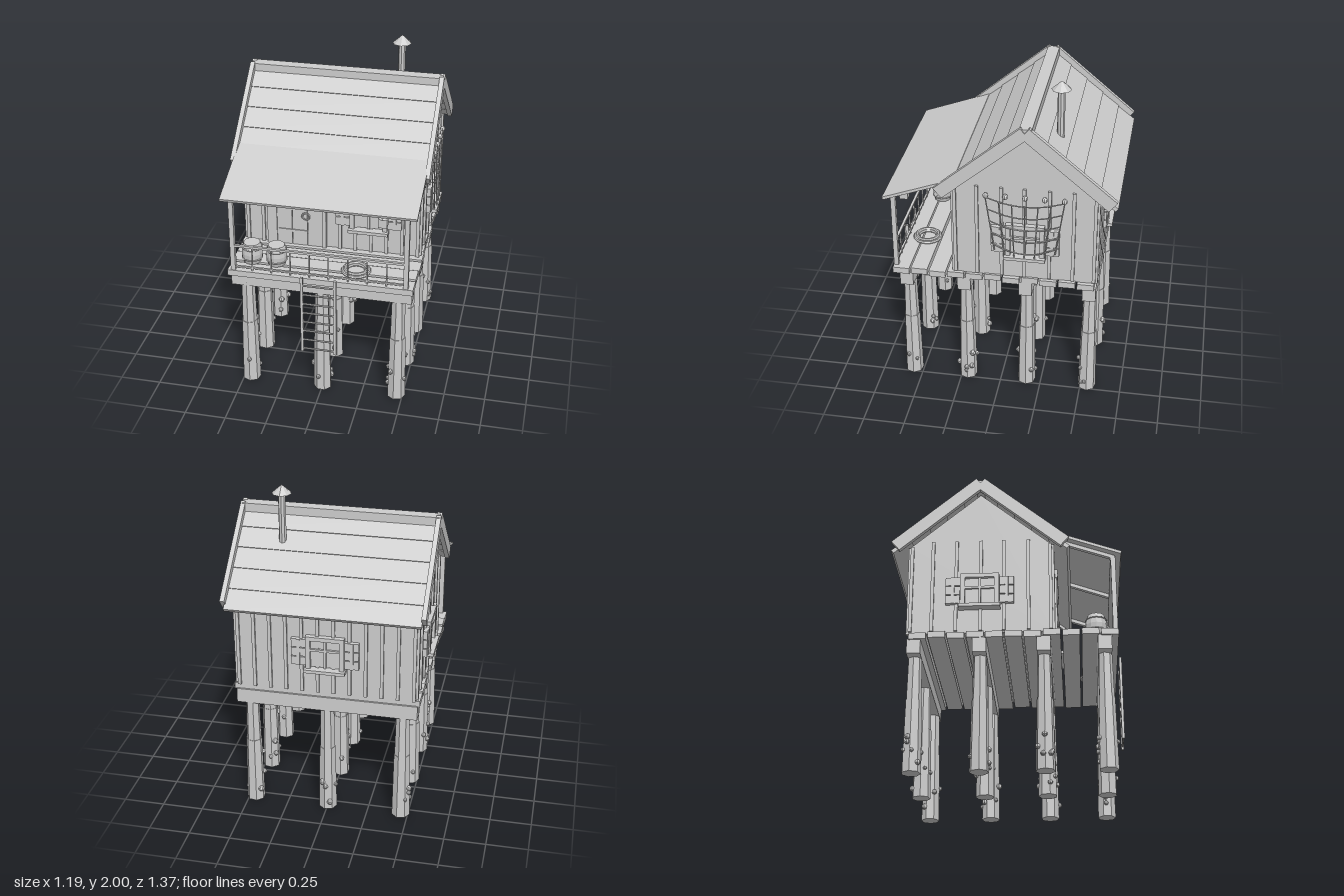
import * as THREE from 'three';

const wood = new THREE.MeshStandardMaterial({ color: 0xcccccc, flatShading: true });
wood.name = 'weathered grey';

// Small seeded generator for natural irregularity
let seed = 7;
const rnd = () => (seed = (seed * 16807) % 2147483647) / 2147483647;

function add(parent, name, geo, x = 0, y = 0, z = 0) {
  const m = new THREE.Mesh(geo, wood);
  m.name = name;
  m.position.set(x, y, z);
  parent.add(m);
  return m;
}
// Box given by its extents
function box(parent, name, x0, x1, y0, y1, z0, z1) {
  return add(parent, name, new THREE.BoxGeometry(x1 - x0, y1 - y0, z1 - z0),
    (x0 + x1) / 2, (y0 + y1) / 2, (z0 + z1) / 2);
}
function group(parent, name) {
  const g = new THREE.Group();
  g.name = name;
  parent.add(g);
  return g;
}
function rope(parent, name, pts, r = 0.004) {
  const curve = new THREE.CatmullRomCurve3(pts.map(p => new THREE.Vector3(...p)));
  return add(parent, name, new THREE.TubeGeometry(curve, 12, r, 5), 0, 0, 0);
}

const RIDGE_Z = -0.16, SLOPE = 0.84, PITCH = Math.atan(SLOPE);

function buildStilts(root) {
  for (const z of [0.56, 0.21, -0.16, -0.54]) {
    box(root, 'floorBeam', -0.545, 0.545, 0.695, 0.785, z - 0.04, z + 0.04);
    for (const x of [-0.455, 0, 0.46]) {
      const post = group(root, 'stilt');
      post.position.set(x, 0, z);
      const turn = rnd() * 0.8;
      add(post, 'stiltLower', new THREE.CylinderGeometry(0.049, 0.056, 0.43, 7), 0, 0.215, 0).rotation.y = turn;
      add(post, 'stiltUpper', new THREE.CylinderGeometry(0.039, 0.047, 0.4, 7), 0, 0.58, 0).rotation.y = turn;
      // Barnacles near the waterline
      for (let i = 0; i < 6; i++) {
        const a = rnd() * Math.PI * 2;
        add(post, 'barnacle', new THREE.SphereGeometry(0.011 + rnd() * 0.008, 7, 5),
          Math.cos(a) * 0.055, 0.05 + rnd() * 0.16, Math.sin(a) * 0.055);
      }
    }
  }
}

function buildDeck(root) {
  const n = 11, step = 1.22 / n;
  for (let i = 0; i < n; i++) {
    const z = 0.64 - i * step, lift = (i % 2) * 0.006, e = rnd() * 0.012;
    box(root, 'deckPlank', -0.56 + e, 0.56 - e, 0.78 + lift, 0.818 + lift, z - step + 0.011, z);
  }
}

// Window built facing +z around its own origin, then placed on a wall
function buildWindow(root, x, z, turn) {
  const w = group(root, 'window');
  w.position.set(x, 0, z);
  w.rotation.y = turn;
  box(w, 'pane', -0.1, 0.1, 0.99, 1.18, 0, 0.012);
  for (const s of [-1, 1]) {
    box(w, 'frameSide', s * 0.1 - 0.014, s * 0.1 + 0.014, 0.98, 1.19, 0, 0.032);
    const c = s * 0.158;
    for (let i = 0; i < 3; i++)
      box(w, 'shutterBoard', c - 0.042, c + 0.042, 1.0 + i * 0.058, 1.052 + i * 0.058, 0, 0.024);
    box(w, 'shutterBrace', c - 0.01, c + 0.01, 1.0, 1.168, 0.02, 0.03);
  }
  box(w, 'frameTop', -0.114, 0.114, 1.165, 1.19, 0, 0.032);
  box(w, 'mullion', -0.007, 0.007, 0.99, 1.17, 0.01, 0.025);
  box(w, 'transom', -0.09, 0.09, 1.095, 1.109, 0.01, 0.025);
  box(w, 'sill', -0.122, 0.122, 0.965, 0.985, 0, 0.055);
}

function buildHouse(root) {
  // Gabled body; shape x becomes -z after the turn
  const s = new THREE.Shape();
  s.moveTo(-0.265, 0.82).lineTo(0.575, 0.82);
  s.lineTo(0.575, 1.395).lineTo(0.16, 1.745).lineTo(-0.265, 1.39);
  s.closePath();
  const body = add(root, 'walls', new THREE.ExtrudeGeometry(s, { depth: 1.07, bevelEnabled: false }), -0.535, 0, 0);
  body.rotation.y = Math.PI / 2;

  // Battens
  for (const sx of [-1, 1])
    for (const z of [0.125, -0.02, -0.155, -0.3, -0.44, 0.255, -0.565])
      box(root, 'gableBatten', sx * 0.54 - 0.008, sx * 0.54 + 0.008, 0.83, Math.abs(z + 0.155) > 0.4 ? 1.39 : 1.42, z - 0.01, z + 0.01);
  for (let i = 0; i < 12; i++) {
    const x = -0.523 + i * 0.0951;
    box(root, 'backBatten', x - 0.01, x + 0.01, 0.82, 1.39, -0.588, -0.572);
    if (x < -0.41 || x > -0.04) box(root, 'frontBatten', x - 0.01, x + 0.01, 0.82, 1.39, 0.262, 0.278);
  }

  // Windows on all four walls
  buildWindow(root, 0.225, 0.265, 0);
  buildWindow(root, 0, -0.575, Math.PI);
  buildWindow(root, 0.537, -0.16, Math.PI / 2);
  buildWindow(root, -0.537, -0.16, -Math.PI / 2);

  // Door with frame, straps and ring handle
  const d = group(root, 'door');
  for (let i = 0; i < 3; i++)
    box(d, 'doorBoard', -0.34 + i * 0.095, -0.248 + i * 0.095, 0.825, 1.235, 0.265, 0.28);
  box(d, 'jambLeft', -0.4, -0.34, 0.82, 1.235, 0.265, 0.289);
  box(d, 'jambRight', -0.058, -0.035, 0.82, 1.235, 0.265, 0.289);
  box(d, 'lintel', -0.405, -0.045, 1.235, 1.29, 0.265, 0.295);
  for (const y of [0.92, 1.145]) box(d, 'hingeStrap', -0.33, -0.15, y - 0.009, y + 0.009, 0.279, 0.286);
  add(d, 'ringHandle', new THREE.TorusGeometry(0.022, 0.006, 6, 14), -0.16, 1.03, 0.288);
}

function buildRoof(root) {
  for (const s of [-1, 1]) {
    // Lapped planks
    for (let i = 0; i < 5; i++) {
      const d = 0.057 + i * 0.103;
      const p = add(root, 'roofPlank', new THREE.BoxGeometry(1.14, 0.025, 0.137), 0, 1.787 - SLOPE * d, RIDGE_Z + s * d);
      p.rotation.x = s * (PITCH - 0.04);
    }
    // Barge boards along the gable edges
    for (const x of [-0.58, 0.577]) {
      const d = 0.252;
      const b = add(root, 'bargeBoard', new THREE.BoxGeometry(0.028, 0.076, 0.655), x, 1.8 - SLOPE * d, RIDGE_Z + s * d);
      b.rotation.x = s * PITCH;
    }
  }
  box(root, 'ridgeCap', -0.585, 0.582, 1.75, 1.82, -0.2, -0.127);

  // Stove pipe
  add(root, 'chimneyPipe', new THREE.CylinderGeometry(0.022, 0.022, 0.36, 8), 0.305, 1.78, -0.325);
  add(root, 'chimneyCap', new THREE.ConeGeometry(0.058, 0.052, 8), 0.305, 1.974, -0.325);
}

function buildPorch(root) {
  const tilt = Math.atan2(0.155, 0.425);
  const roof = add(root, 'porchRoof', new THREE.BoxGeometry(1.145, 0.018, 0.452), 0, 1.379, 0.46);
  roof.rotation.x = tilt;
  for (const x of [-0.515, 0, 0.515]) {
    const r = add(root, 'porchRafter', new THREE.BoxGeometry(0.025, 0.024, 0.38), x, 1.362, 0.452);
    r.rotation.x = tilt;
  }
  box(root, 'porchBeam', -0.53, 0.53, 1.275, 1.3, 0.607, 0.637);
  for (const x of [-0.52, 0.512]) box(root, 'porchPost', x - 0.014, x + 0.014, 0.82, 1.29, 0.61, 0.638);

  // Railing
  box(root, 'topRail', -0.53, 0.52, 0.974, 0.988, 0.616, 0.632);
  box(root, 'bottomRail', -0.53, 0.52, 0.836, 0.846, 0.618, 0.63);
  for (let i = 1; i < 9; i++) {
    const x = -0.52 + i * 0.1147;
    box(root, 'baluster', x - 0.004, x + 0.004, 0.82, 0.98, 0.62, 0.628);
  }

  // Ladder
  for (const x of [-0.1, 0.1]) box(root, 'ladderRail', x - 0.008, x + 0.008, 0.315, 0.835, 0.652, 0.668);
  for (let i = 0; i < 8; i++) {
    const rung = add(root, 'ladderRung', new THREE.CylinderGeometry(0.006, 0.006, 0.2, 6), 0, 0.335 + i * 0.0635, 0.66);
    rung.rotation.z = Math.PI / 2;
  }

  // Hanging lantern
  box(root, 'lanternBody', 0.343, 0.393, 1.2, 1.255, 0.57, 0.62);
  add(root, 'lanternTop', new THREE.ConeGeometry(0.034, 0.035, 6), 0.368, 1.272, 0.595);

  // Barrels
  const profile = [[0, 0], [0.05, 0], [0.061, 0.035], [0.064, 0.065], [0.061, 0.095], [0.05, 0.13], [0, 0.13]]
    .map(p => new THREE.Vector2(...p));
  for (const x of [-0.435, -0.285]) {
    const b = group(root, 'barrel');
    b.position.set(x, 0.823, 0.515);
    add(b, 'barrelBody', new THREE.LatheGeometry(profile, 12));
    for (const y of [0.03, 0.1])
      add(b, 'barrelHoop', new THREE.TorusGeometry(0.06, 0.005, 5, 12), 0, y, 0).rotation.x = Math.PI / 2;
  }

  // Coiled rope
  for (const [r, y] of [[0.08, 0.83], [0.058, 0.832], [0.066, 0.842]])
    add(root, 'ropeCoil', new THREE.TorusGeometry(r, 0.01, 6, 18), 0.195, y, 0.505).rotation.x = Math.PI / 2;
}

// Fishing net sagging from pegs on one gable
function buildNet(root) {
  const net = group(root, 'fishingNet');
  const at = (u, v) => {
    const half = 0.228 - 0.045 * v;
    const sag = 0.045 * (1 - (2 * u - 1) ** 2);
    return [0.568 + 0.015 * v * Math.sin(u * Math.PI), 1.365 - 0.31 * v - sag, -0.16 + half * (1 - 2 * u)];
  };
  for (let i = 0; i < 5; i++) {
    const z = 0.067 - i * 0.1135;
    add(net, 'netPeg', new THREE.SphereGeometry(0.017, 8, 6), 0.565, 1.375, z);
    rope(net, 'netRow', [0, 0.25, 0.5, 0.75, 1].map(u => at(u, i / 4)));
  }
  for (let i = 0; i < 7; i++)
    rope(net, 'netStrand', [-0.02, 0.35, 0.7, 1.12].map(v => at(i / 6, v)));
}

export function createModel() {
  const root = new THREE.Group();
  root.name = 'stiltHouse';
  buildStilts(root);
  buildDeck(root);
  buildHouse(root);
  buildRoof(root);
  buildPorch(root);
  buildNet(root);
  return root;
}
